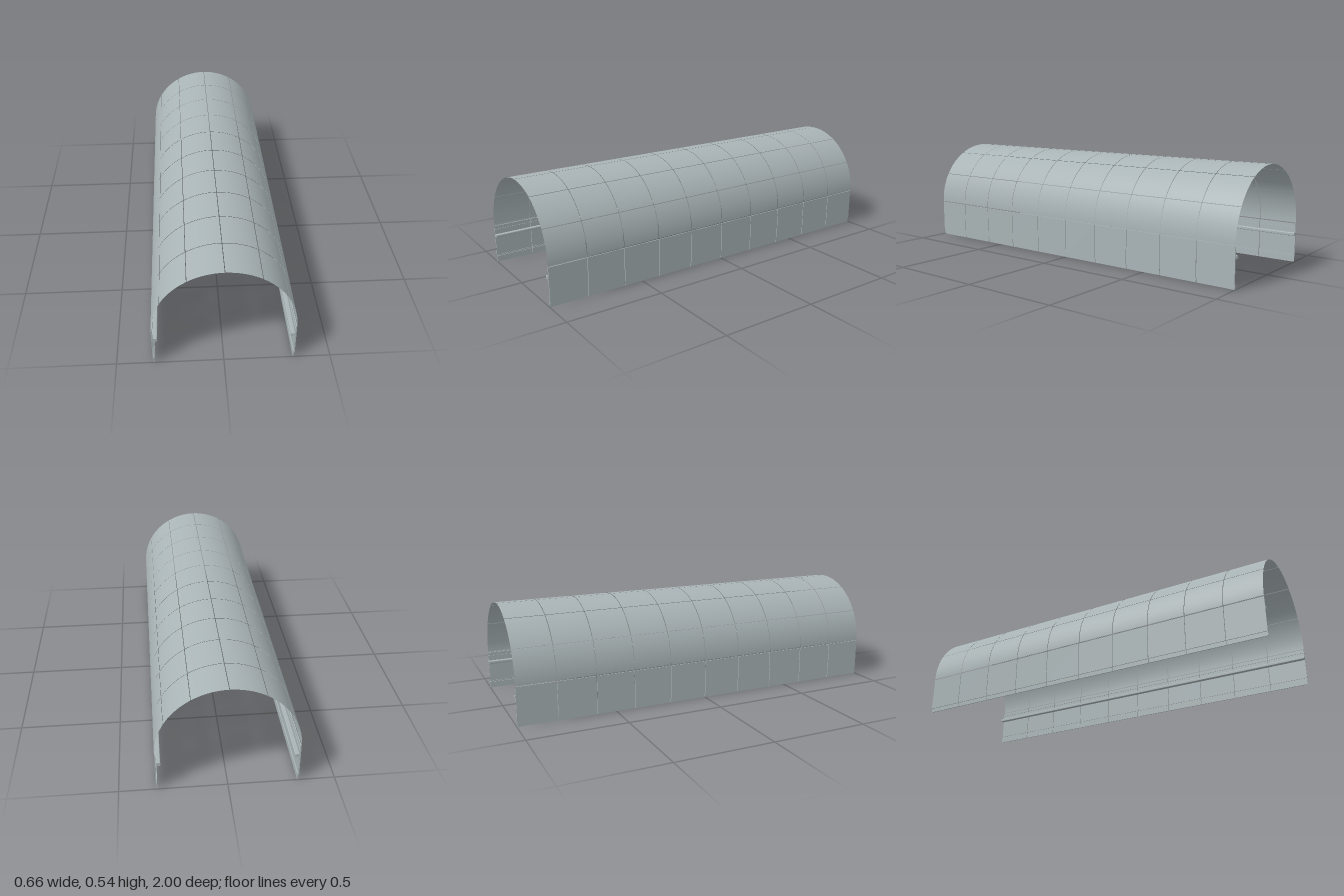
import * as THREE from 'three';

const steel = new THREE.MeshStandardMaterial({ color: 0xa9b4b6, side: THREE.DoubleSide });
steel.name = 'greySteel';

const BAYS = 10, BAY = 0.2, GAP = 0.003;
const RADIUS = 0.332, SPRING = 0.204, SECTORS = 6;

function add(parent, name, geometry, x, y, z) {
  const mesh = new THREE.Mesh(geometry, steel);
  mesh.name = name;
  mesh.position.set(x, y, z);
  parent.add(mesh);
  return mesh;
}

// thin curved sheet covering one sector of the vault in one bay
function vaultPanel(sector) {
  const step = Math.PI / SECTORS, trim = GAP / 2 / RADIUS;
  const geo = new THREE.CylinderGeometry(RADIUS, RADIUS, BAY - GAP, 10, 1, true,
    -Math.PI / 2 + sector * step + trim, step - 2 * trim);
  // lay the axis along z with the arch opening downward
  return geo.rotateX(-Math.PI / 2);
}

// handrail profile with softened inner corners, drawn for the +x wall
function railGeometry(length) {
  const s = new THREE.Shape();
  const x0 = 0.3055, x1 = 0.3255, y0 = 0.139, y1 = 0.155, r = 0.004;
  s.moveTo(x1, y0 + 0.001);
  s.lineTo(x1, y1 - 0.001);
  s.lineTo(x1 - 0.001, y1);
  s.lineTo(x0 + r, y1);
  s.quadraticCurveTo(x0, y1, x0, y1 - r);
  s.lineTo(x0, y0 + r);
  s.quadraticCurveTo(x0, y0, x0 + r, y0);
  s.lineTo(x1 - 0.001, y0);
  s.closePath();
  return new THREE.ExtrudeGeometry(s, { depth: length, bevelEnabled: false, curveSegments: 4 })
    .translate(0, 0, -length / 2);
}

export function createModel() {
  const model = new THREE.Group();
  model.name = 'archedShelter';

  // vaulted roof, sheet by sheet
  const roof = new THREE.Group();
  roof.name = 'vaultedRoof';
  model.add(roof);
  for (let s = 0; s < SECTORS; s++) {
    const geo = vaultPanel(s);
    for (let b = 0; b < BAYS; b++) add(roof, 'roofPanel', geo, 0, SPRING, -1 + BAY * (b + 0.5));
  }

  // side walls, skirting, ledges and handrails
  const wallGeo = new THREE.BoxGeometry(0.005, 0.178, BAY - GAP);
  const skirtGeo = new THREE.BoxGeometry(0.0045, 0.032, BAY - GAP);
  const ledgeGeo = new THREE.BoxGeometry(0.003, 0.002, BAY - GAP);
  const rail = railGeometry(2);
  for (const side of [1, -1]) {
    const wall = new THREE.Group();
    wall.name = side > 0 ? 'leftWall' : 'rightWall';
    model.add(wall);
    for (let b = 0; b < BAYS; b++) {
      const z = -1 + BAY * (b + 0.5);
      add(wall, 'wallPanel', wallGeo, side * 0.3295, 0.111, z);
      add(wall, 'skirtingPanel', skirtGeo, side * 0.3257, 0.016, z);
      for (const y of [0.038, 0.181]) add(wall, 'wallLedge', ledgeGeo, side * 0.3258, y, z);
    }
    const bar = add(wall, 'handrail', rail, 0, 0, 0);
    if (side < 0) bar.rotation.y = Math.PI;
  }
  return model;
}
